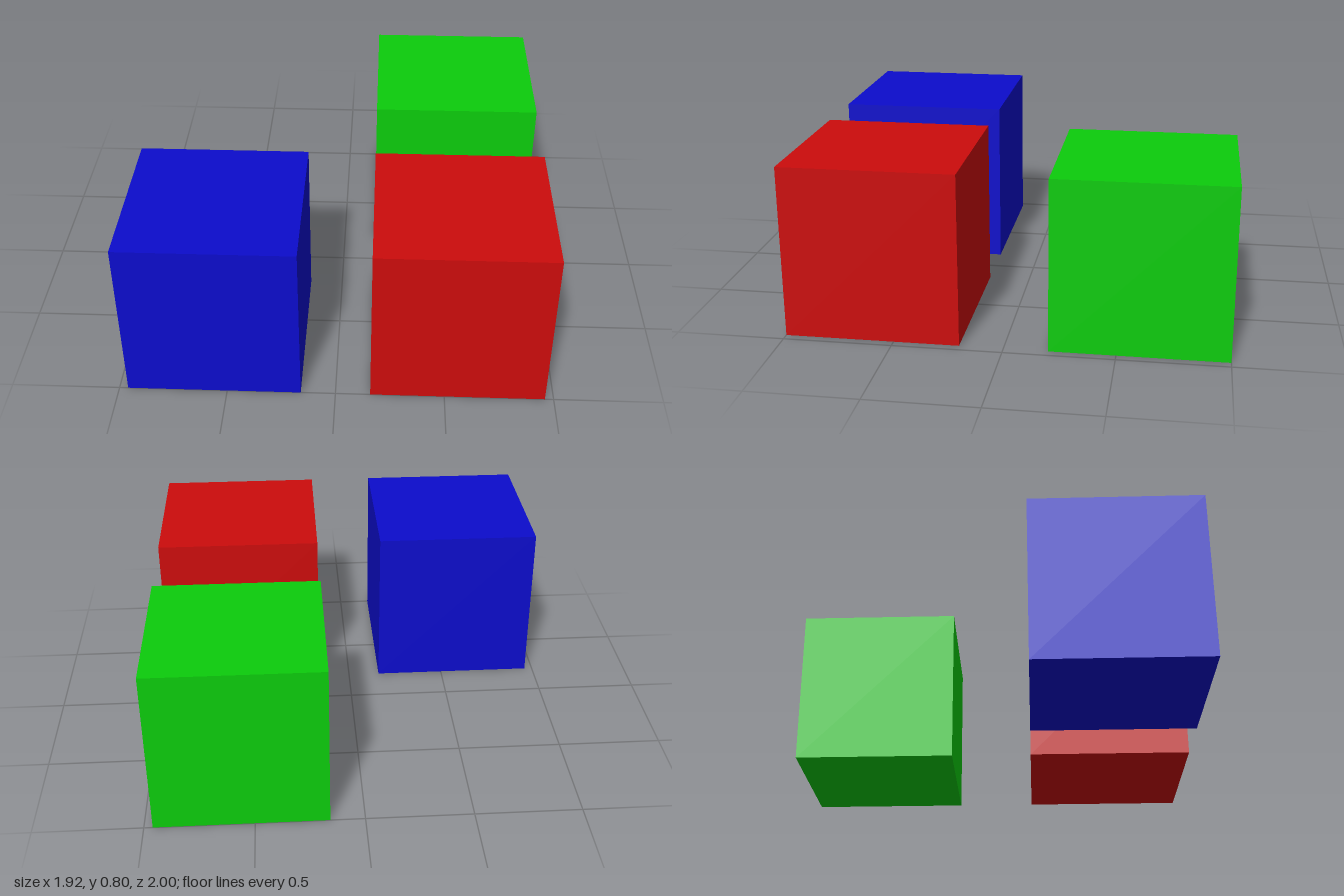
import * as THREE from 'three';

const SIZE = 0.8;

// Three equal cubes standing on the ground in an L-shaped layout
const CUBES = [
  { name: 'redCube', color: 0xcc0c0c, x: 0.56, z: 0.6 },
  { name: 'blueCube', color: 0x0c0ccc, x: -0.56, z: 0.6 },
  { name: 'greenCube', color: 0x0ccc0c, x: 0.56, z: -0.6 },
];

export function createModel() {
  const model = new THREE.Group();
  model.name = 'threeCubes';
  const geometry = new THREE.BoxGeometry(SIZE, SIZE, SIZE);

  for (const { name, color, x, z } of CUBES) {
    const cube = new THREE.Mesh(geometry, new THREE.MeshStandardMaterial({ color }));
    cube.name = name;
    cube.position.set(x, SIZE / 2, z);
    model.add(cube);
  }
  return model;
}
